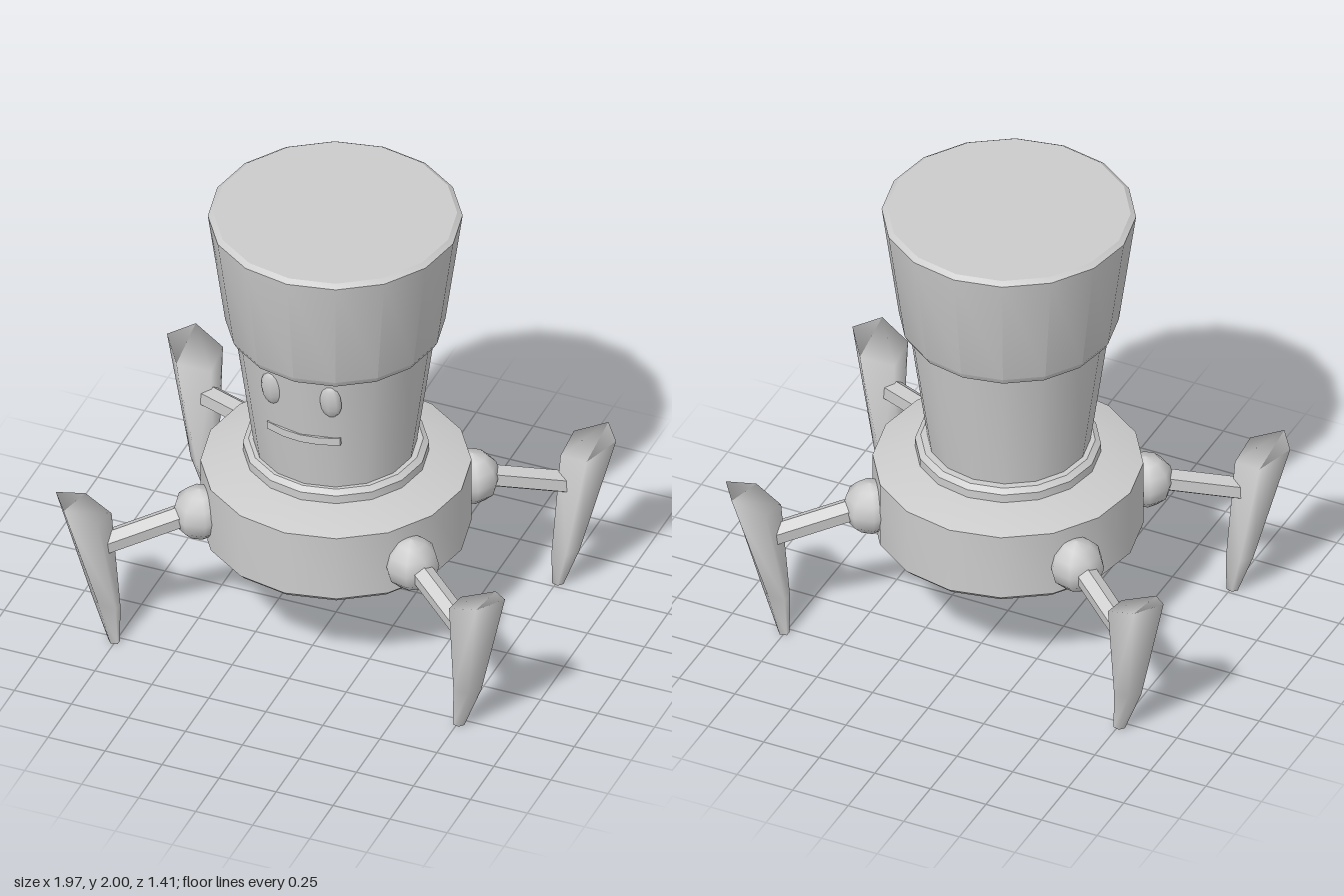
import * as THREE from 'three';
import { toCreasedNormals } from 'three/addons/utils/BufferGeometryUtils.js';

const material = new THREE.MeshStandardMaterial({ color: 0xcccccc });
const flatMaterial = new THREE.MeshStandardMaterial({ color: 0xcccccc, flatShading: true });

function part(name, geometry, mat = material) {
  const mesh = new THREE.Mesh(geometry, mat);
  mesh.name = name;
  return mesh;
}

// Sixteen-sided turned solid from [radius, height] pairs, listed bottom to top
function turned(profile) {
  const points = profile.map(([r, y]) => new THREE.Vector2(r, y));
  return toCreasedNormals(new THREE.LatheGeometry(points, 16), 0.5);
}

// Copy of an indexed geometry mirrored by the signs sx and sz
function mirrored(geometry, sx, sz) {
  const copy = geometry.clone().scale(sx, 1, sz);
  if (sx * sz < 0) {
    const index = copy.index.array;
    for (let i = 0; i < index.length; i += 3) {
      [index[i], index[i + 2]] = [index[i + 2], index[i]];
    }
  }
  copy.computeVertexNormals();
  return copy;
}

// Hexagonal rod between two points
function rodGeometry(from, to, r0, r1) {
  const axis = to.clone().sub(from);
  const geometry = new THREE.CylinderGeometry(r1, r0, axis.length(), 6);
  geometry.applyQuaternion(new THREE.Quaternion().setFromUnitVectors(
    new THREE.Vector3(0, 1, 0), axis.normalize()));
  const mid = from.clone().add(to).multiplyScalar(0.5);
  return geometry.translate(mid.x, mid.y, mid.z);
}

// Five-sided claw lofted through rings, with a slanted top and a narrow tip
function clawGeometry() {
  const heading = 0.605;
  const rings = [
    { x: 0.755, y: 0, z: 0.53, rx: 0.025, rz: 0.021, slope: 0 },
    { x: 0.79, y: 0.18, z: 0.526, rx: 0.062, rz: 0.04, slope: 0.2 },
    { x: 0.865, y: 0.686, z: 0.597, rx: 0.12, rz: 0.116, slope: 0.41 },
  ];
  const positions = [];
  const index = [];
  for (const ring of rings) {
    for (let i = 0; i < 5; i++) {
      const a = (i + 0.5) * Math.PI * 2 / 5;
      positions.push(
        ring.x + ring.rx * Math.cos(a + heading),
        ring.y + ring.slope * ring.rx * Math.cos(a),
        ring.z + ring.rz * Math.sin(a + heading));
    }
  }
  for (let k = 0; k < 2; k++) {
    for (let i = 0; i < 5; i++) {
      const a = k * 5 + i;
      const b = k * 5 + (i + 1) % 5;
      index.push(a, a + 5, b, b, a + 5, b + 5);
    }
  }
  // End caps
  for (let i = 1; i < 4; i++) {
    index.push(0, i, i + 1, 10, 10 + i + 1, 10 + i);
  }
  const geometry = new THREE.BufferGeometry();
  geometry.setAttribute('position', new THREE.Float32BufferAttribute(positions, 3));
  geometry.setIndex(index);
  return geometry;
}

// Thin bar wrapped around the front of the head
function mouthGeometry() {
  const geometry = new THREE.BoxGeometry(0.32, 0.035, 0.04, 4, 1, 1);
  const p = geometry.attributes.position;
  for (let i = 0; i < p.count; i++) {
    p.setZ(i, p.getZ(i) - 0.37 + Math.sqrt(0.37 ** 2 - p.getX(i) ** 2));
  }
  return toCreasedNormals(geometry, 0.5);
}

export function createModel() {
  const model = new THREE.Group();
  model.name = 'walker';

  // Round body with sloping shoulder and collar
  model.add(part('body', turned([
    [0, 0.435], [0.525, 0.435], [0.55, 0.46], [0.55, 0.76], [0.375, 0.813], [0, 0.813],
  ])));
  model.add(part('collar', turned([
    [0.378, 0.8], [0.378, 0.85], [0.355, 0.868], [0, 0.868],
  ])));

  // Tapered head and the wider cap above it
  const head = new THREE.Group();
  head.name = 'head';
  head.position.z = 0.008;
  head.add(part('face', turned([[0.33, 0.85], [0.413, 1.45]])));
  head.add(part('cap', turned([
    [0.4, 1.44], [0.43, 1.44], [0.447, 1.47], [0.517, 1.985], [0.495, 2], [0, 2],
  ])));

  // Eyes and mouth
  for (const side of [1, -1]) {
    const eye = part(side > 0 ? 'leftEye' : 'rightEye', new THREE.SphereGeometry(1, 8, 8));
    eye.scale.set(0.05, 0.086, 0.03);
    eye.position.set(side * 0.127, 1.335, 0.363);
    eye.rotation.x = 0.14;
    head.add(eye);
  }
  const mouth = part('mouth', mouthGeometry());
  mouth.position.set(0, 1.122, 0.355);
  head.add(mouth);
  model.add(head);

  // Four legs: ball joint, rod and claw
  const joint = new THREE.SphereGeometry(0.115, 8, 6).rotateY(-0.6).translate(0.465, 0.59, 0.325);
  const rod = rodGeometry(
    new THREE.Vector3(0.465, 0.603, 0.325), new THREE.Vector3(0.81, 0.492, 0.568), 0.05, 0.05);
  const claw = clawGeometry();
  for (const sx of [1, -1]) {
    for (const sz of [1, -1]) {
      const leg = new THREE.Group();
      leg.name = (sz > 0 ? 'front' : 'back') + (sx > 0 ? 'Left' : 'Right') + 'Leg';
      leg.add(part('joint', mirrored(joint, sx, sz)));
      leg.add(part('rod', mirrored(rod, sx, sz), flatMaterial));
      leg.add(part('claw', mirrored(claw, sx, sz)));
      model.add(leg);
    }
  }
  return model;
}
